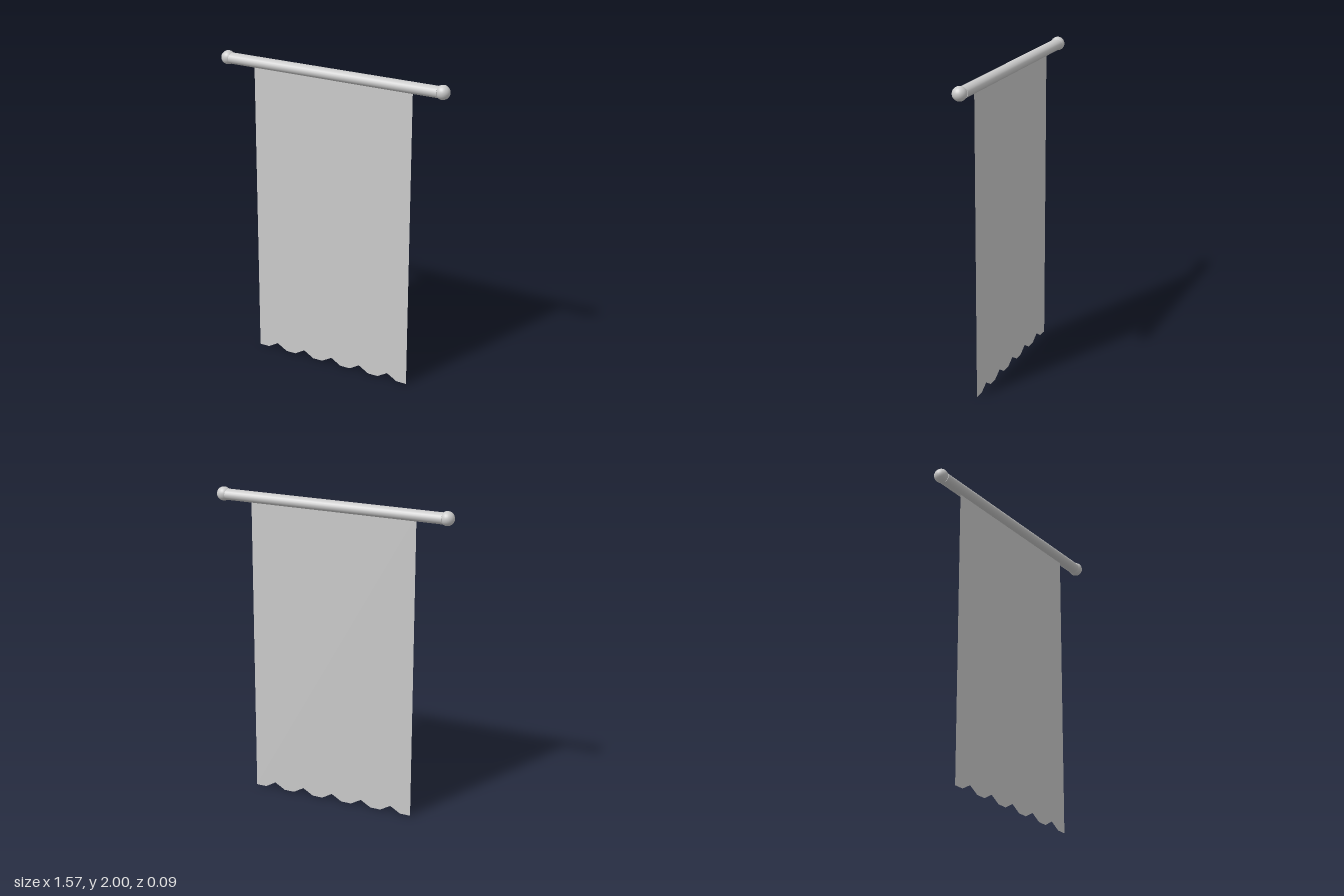
import * as THREE from 'three';

export function createModel() {
  const group = new THREE.Group();
  const material = new THREE.MeshStandardMaterial({ color: 0xcccccc });
  const clothMaterial = new THREE.MeshStandardMaterial({ color: 0xcccccc, side: THREE.DoubleSide });
  const add = (name, geometry, mat = material) => {
    const mesh = new THREE.Mesh(geometry, mat);
    mesh.name = name;
    group.add(mesh);
    return mesh;
  };

  // Horizontal rod, slightly flattened in height
  const rod = new THREE.CylinderGeometry(0.041, 0.041, 1.434, 20);
  rod.rotateZ(Math.PI / 2).scale(1, 0.85, 1);
  add('rod', rod).position.y = 1.954;

  // Ball finials at both ends
  for (const side of [-1, 1]) {
    const ball = add(side > 0 ? 'leftFinial' : 'rightFinial', new THREE.SphereGeometry(0.044, 24, 16));
    ball.position.set(side * 0.741, 1.956, 0);
  }

  // Hanging cloth: every third point of the hem is a notch
  const half = 0.548, steps = 16;
  const cloth = new THREE.Shape();
  cloth.moveTo(half, 1.95);
  cloth.lineTo(-half, 1.95);
  for (let i = 0; i <= steps; i++) {
    cloth.lineTo(-half + (2 * half * i) / steps, i % 3 === 2 ? 0.04 : 0);
  }
  cloth.closePath();
  add('cloth', new THREE.ShapeGeometry(cloth), clothMaterial);

  return group;
}
